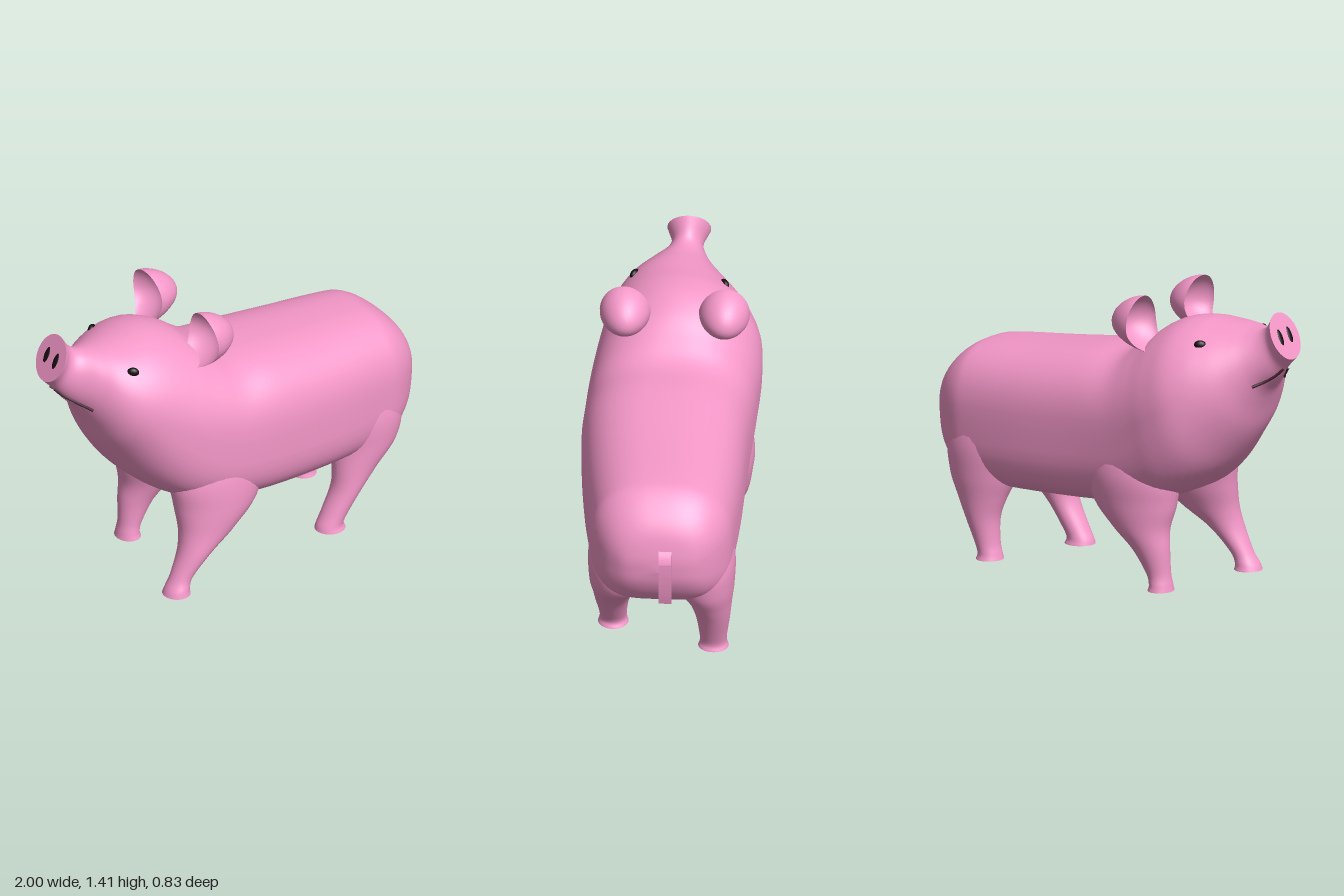
import * as THREE from 'three';
import { mergeVertices, toCreasedNormals } from 'three/addons/utils/BufferGeometryUtils.js';

const skin = new THREE.MeshStandardMaterial({ color: 0xf598c9, side: THREE.DoubleSide });
const dark = new THREE.MeshStandardMaterial({ color: 0x160c10 });
const lip = new THREE.MeshStandardMaterial({ color: 0x4a2436 });

// Smooth interpolation through rows of six numbers; t runs 0..1
function rowSpline(rows) {
  const half = (k) => new THREE.CatmullRomCurve3(
    rows.map((r) => new THREE.Vector3(r[k], r[k + 1], r[k + 2])), false, 'catmullrom', 0.5);
  const a = half(0), b = half(3);
  return (t) => [...a.getPoint(t).toArray(), ...b.getPoint(t).toArray()];
}

// Skin over rings given by point(t, angle), with flat caps on both ends
function loft(point, nv, nu) {
  const pos = [], index = [];
  for (let i = 0; i <= nv; i++) {
    for (let j = 0; j < nu; j++) pos.push(...point(i / nv, (j / nu) * Math.PI * 2).toArray());
  }
  for (let i = 0; i < nv; i++) {
    for (let j = 0; j < nu; j++) {
      const k = (j + 1) % nu;
      const a = i * nu + j, c = i * nu + k, b = a + nu, d = c + nu;
      index.push(a, c, b, c, d, b);
    }
  }
  for (const end of [0, 1]) {
    const start = pos.length / 3;
    const centre = point(end, 0).add(point(end, Math.PI)).multiplyScalar(0.5);
    pos.push(...centre.toArray());
    for (let j = 0; j < nu; j++) pos.push(...point(end, (j / nu) * Math.PI * 2).toArray());
    for (let j = 0; j < nu; j++) {
      const p = start + 1 + j, q = start + 1 + ((j + 1) % nu);
      if (end) index.push(start, p, q); else index.push(start, q, p);
    }
  }
  const g = new THREE.BufferGeometry();
  g.setAttribute('position', new THREE.Float32BufferAttribute(pos, 3));
  g.setIndex(index);
  g.computeVertexNormals();
  return g;
}

// Body rings from snout to rump: top x, top y, bottom x, bottom y, half width, centre z
const bodyRow = rowSpline([
  [-0.90, 1.39, -1.00, 1.18, 0.103, -0.045],
  [-0.86, 1.33, -0.955, 1.13, 0.075, -0.04],
  [-0.82, 1.30, -0.91, 1.07, 0.098, -0.03],
  [-0.76, 1.295, -0.85, 1.00, 0.158, -0.01],
  [-0.69, 1.30, -0.81, 0.92, 0.223, 0],
  [-0.60, 1.305, -0.76, 0.80, 0.293, -0.008],
  [-0.50, 1.31, -0.69, 0.69, 0.345, -0.022],
  [-0.40, 1.295, -0.60, 0.58, 0.380, -0.03],
  [-0.30, 1.25, -0.48, 0.485, 0.395, -0.02],
  [-0.20, 1.175, -0.36, 0.435, 0.397, -0.005],
  [-0.08, 1.105, -0.20, 0.39, 0.396, 0.008],
  [0.10, 1.09, 0.05, 0.36, 0.392, 0.018],
  [0.40, 1.055, 0.40, 0.345, 0.372, 0.01],
  [0.70, 1.025, 0.65, 0.345, 0.342, 0],
  [0.80, 1.00, 0.77, 0.37, 0.322, 0],
  [0.89, 0.93, 0.86, 0.43, 0.272, 0],
  [0.945, 0.85, 0.92, 0.50, 0.212, 0],
  [0.972, 0.75, 0.96, 0.58, 0.140, 0],
  [0.978, 0.68, 0.978, 0.66, 0.010, 0],
]);

function bodyPoint(t, angle) {
  const [tx, ty, bx, by, w, zc] = bodyRow(t);
  const c = Math.cos(angle), s = Math.sin(angle);
  // Round head; the trunk has a broad back and sides that drop into the legs
  const n = c > 0
    ? 2 + 0.6 * THREE.MathUtils.smoothstep(t, 0.42, 0.6)
    : 2 + 1.5 * THREE.MathUtils.smoothstep(t, 0.3, 0.55);
  const u = Math.sign(c) * Math.abs(c) ** (2 / n), v = Math.sign(s) * Math.abs(s) ** (2 / n);
  return new THREE.Vector3(
    (tx + bx) / 2 + u * (tx - bx) / 2, (ty + by) / 2 + u * (ty - by) / 2, zc + v * w);
}

// Leg rings from hoof to hip: y, centre x, centre z, radius x, radius z, unused
function legGeometry(rings) {
  const row = rowSpline(rings.map((r) => [...r, 0]));
  return loft((t, a) => {
    const [y, x, z, rx, rz] = row(t);
    return new THREE.Vector3(x + Math.cos(a) * rx, y, z - Math.sin(a) * rz);
  }, 40, 32);
}

const legs = {
  frontLegLeftSide: [
    [0.005, -0.48, 0.31, 0.066, 0.07], [0.035, -0.475, 0.31, 0.058, 0.063],
    [0.09, -0.445, 0.305, 0.055, 0.058], [0.20, -0.365, 0.298, 0.085, 0.085],
    [0.30, -0.28, 0.278, 0.150, 0.118], [0.42, -0.215, 0.25, 0.220, 0.155],
    [0.58, -0.20, 0.22, 0.240, 0.174], [0.80, -0.18, 0.17, 0.160, 0.17]],
  frontLegRightSide: [
    [0.005, -0.375, -0.245, 0.060, 0.07], [0.035, -0.375, -0.245, 0.054, 0.063],
    [0.09, -0.36, -0.245, 0.060, 0.06], [0.20, -0.32, -0.25, 0.095, 0.082],
    [0.30, -0.26, -0.245, 0.150, 0.115], [0.42, -0.215, -0.23, 0.220, 0.15],
    [0.58, -0.20, -0.22, 0.240, 0.171], [0.80, -0.18, -0.17, 0.160, 0.17]],
  backLegLeftSide: [
    [0.005, 0.445, 0.24, 0.074, 0.072], [0.035, 0.445, 0.24, 0.064, 0.064],
    [0.09, 0.475, 0.24, 0.064, 0.066], [0.20, 0.54, 0.24, 0.075, 0.08],
    [0.30, 0.595, 0.23, 0.115, 0.1], [0.42, 0.655, 0.205, 0.178, 0.138],
    [0.58, 0.66, 0.195, 0.195, 0.15], [0.78, 0.64, 0.15, 0.140, 0.15]],
  backLegRightSide: [
    [0.005, 0.62, -0.24, 0.064, 0.072], [0.035, 0.62, -0.24, 0.056, 0.064],
    [0.09, 0.635, -0.24, 0.060, 0.066], [0.20, 0.66, -0.24, 0.085, 0.08],
    [0.30, 0.67, -0.23, 0.125, 0.1], [0.42, 0.675, -0.205, 0.178, 0.138],
    [0.58, 0.67, -0.195, 0.195, 0.15], [0.78, 0.64, -0.15, 0.140, 0.15]],
};

// Ear: a ball whose front half is folded back into a cup, tips curling forward
function earGeometry() {
  const g = new THREE.SphereGeometry(1, 32, 24);
  const p = g.attributes.position;
  for (let i = 0; i < p.count; i++) {
    const x = p.getX(i), y = p.getY(i), z = p.getZ(i);
    const depth = x > 0 ? 0.11 * x : -0.045 * x;
    const curl = 0.04 * z * z + (y > 0 ? 0.055 : 0.105) * y * y;
    // Slightly narrower towards the root
    p.setXYZ(i, depth - 0.018 - curl, y * 0.135, z * 0.12 * (1 + 0.1 * Math.min(0, y)));
  }
  g.deleteAttribute('uv');
  g.deleteAttribute('normal');
  return toCreasedNormals(mergeVertices(g, 1e-5), 1.0);
}

export function createModel() {
  const model = new THREE.Group();
  const add = (name, geometry, material) => {
    const m = new THREE.Mesh(geometry, material);
    m.name = name;
    model.add(m);
    return m;
  };

  add('body', loft(bodyPoint, 90, 56), skin);
  for (const [name, rings] of Object.entries(legs)) add(name, legGeometry(rings), skin);

  // Ears, eyes, nostrils and mouth corners on both sides
  const ear = earGeometry();
  const ball = new THREE.SphereGeometry(1, 16, 12);
  for (const s of [1, -1]) {
    const e = add('ear', ear, skin);
    e.position.set(-0.2, 1.283, s > 0 ? 0.22 : -0.245);
    e.rotation.x = s * 0.2;

    const eye = add('eye', ball, dark);
    eye.scale.set(0.03, 0.025, 0.018);
    eye.position.set(s > 0 ? -0.65 : -0.59, 1.222, s > 0 ? 0.196 : -0.229);
    eye.rotation.y = s * -0.6;

    const nostril = add('nostril', ball, dark);
    nostril.scale.set(0.006, 0.04, 0.016);
    nostril.position.set(-0.949, 1.285, -0.045 + s * 0.036);
    nostril.rotation.z = -0.445;

    const path = [0.06, 0.1, 0.14, 0.18].map((t, i) => bodyPoint(t, Math.PI - s * (0.25 + i * 0.2)));
    add('mouth', new THREE.TubeGeometry(new THREE.CatmullRomCurve3(path), 16, 0.008, 8), lip);
  }

  // Flat tail lying against the rump
  const outline = new THREE.Shape();
  outline.moveTo(0.93, 0.79);
  outline.quadraticCurveTo(0.98, 0.785, 1.0, 0.72);
  outline.quadraticCurveTo(1.0, 0.6, 0.965, 0.475);
  outline.lineTo(0.935, 0.49);
  outline.lineTo(0.95, 0.68);
  outline.closePath();
  const tail = new THREE.ExtrudeGeometry(outline, { depth: 0.06, bevelEnabled: false, curveSegments: 10 });
  tail.translate(0, 0, -0.06);
  add('tail', tail, skin);

  return model;
}
